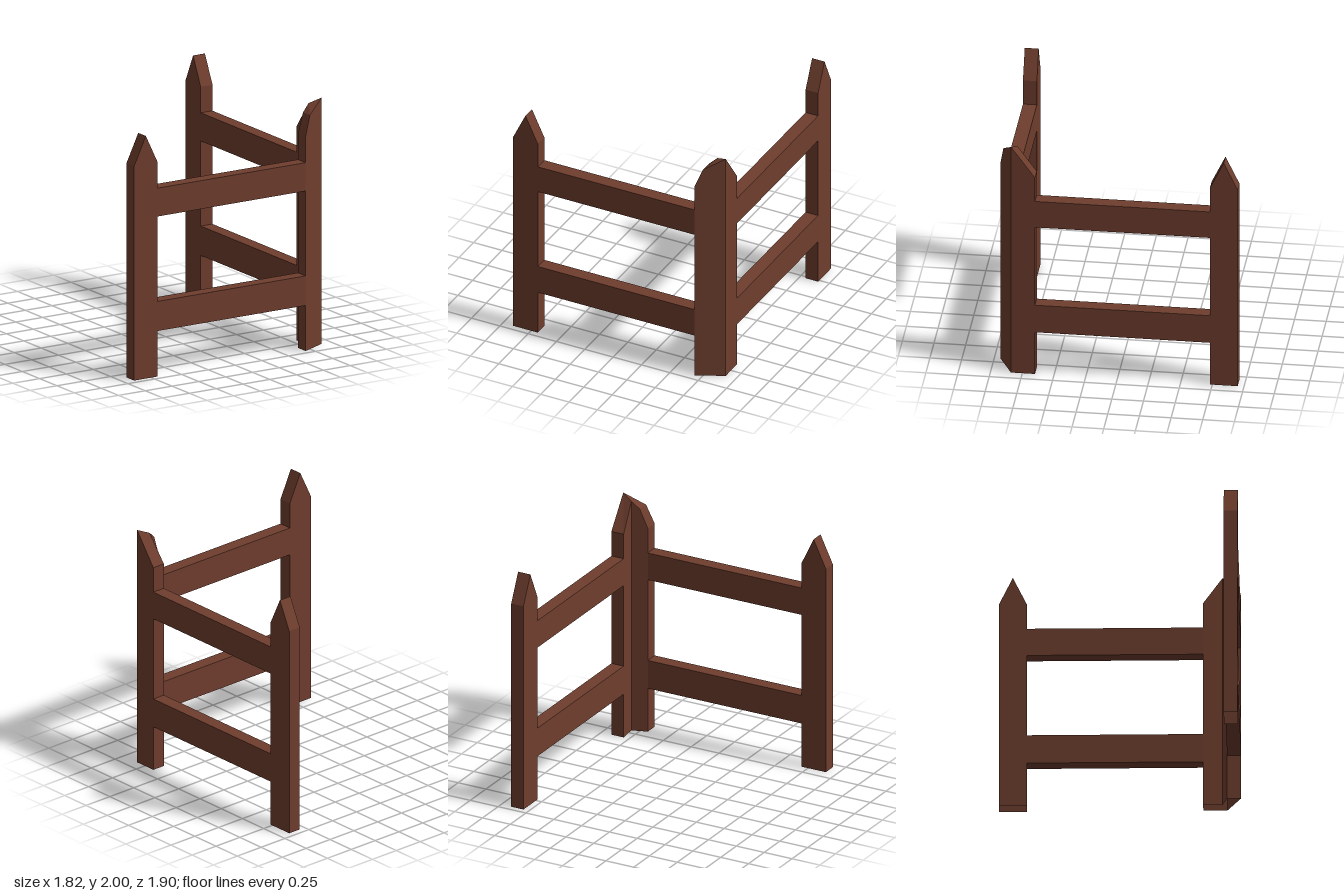
import * as THREE from 'three';

const wood = new THREE.MeshStandardMaterial({ color: 0x6e3d2d, side: THREE.DoubleSide });
wood.name = 'brown wood';

// Hollow post, open underneath. Each section is [outerX, outerZ, outerTop, innerX, innerZ, innerTop].
function makePost(name, sections) {
  const positions = [];
  const quad = (a, b, c, d) => positions.push(...a, ...b, ...c, ...a, ...c, ...d);
  const cuts = sections.map(([ox, oz, oy, ix, iz, iy]) => ({
    outer: [ox, 0, oz], outerTop: [ox, oy, oz],
    inner: [ix, 0, iz], innerTop: [ix, iy, iz],
  }));
  for (let i = 0; i < cuts.length - 1; i++) {
    const a = cuts[i], b = cuts[i + 1];
    quad(a.outer, b.outer, b.outerTop, a.outerTop);
    quad(b.inner, a.inner, a.innerTop, b.innerTop);
    quad(a.outerTop, b.outerTop, b.innerTop, a.innerTop);
  }
  const first = cuts[0], last = cuts[cuts.length - 1];
  quad(first.inner, first.outer, first.outerTop, first.innerTop);
  quad(last.outer, last.inner, last.innerTop, last.outerTop);

  const geometry = new THREE.BufferGeometry();
  geometry.setAttribute('position', new THREE.Float32BufferAttribute(positions, 3));
  geometry.computeVertexNormals();
  const mesh = new THREE.Mesh(geometry, wood);
  mesh.name = name;
  return mesh;
}

function makeRail(name, x0, x1, y0, y1, z0, z1) {
  const mesh = new THREE.Mesh(new THREE.BoxGeometry(x1 - x0, y1 - y0, z1 - z0), wood);
  mesh.position.set((x0 + x1) / 2, (y0 + y1) / 2, (z0 + z1) / 2);
  mesh.name = name;
  return mesh;
}

export function createModel() {
  const group = new THREE.Group();
  group.name = 'cornerFence';

  // Pointed end posts: shoulder, peak, shoulder
  const profile = [[-0.11, 1.74], [0, 1.97], [0.11, 1.74]];
  group.add(makePost('frontEndPost',
    profile.map(([d, y]) => [-0.8 + d, 0.95, y, -0.8 + d, 0.84, y])));
  group.add(makePost('backEndPost',
    profile.map(([d, y]) => [0.91, -0.84 - d, y, 0.8, -0.84 - d, y])));

  // Bent corner post, its peak on the fold
  group.add(makePost('cornerPost', [
    [0.69, 0.95, 1.74, 0.69, 0.84, 1.74],
    [0.75, 0.92, 1.9, 0.75, 0.82, 1.9],
    [0.91, 0.84, 2.0, 0.815, 0.8, 1.96],
    [0.91, 0.65, 1.74, 0.8, 0.65, 1.74],
  ]));

  // Two rails on each side
  for (const [level, y0, y1] of [['lower', 0.37, 0.61], ['upper', 1.3, 1.53]]) {
    group.add(makeRail(level + 'FrontRail', -0.69, 0.69, y0, y1, 0.84, 0.95));
    group.add(makeRail(level + 'SideRail', 0.8, 0.91, y0, y1, -0.73, 0.65));
  }
  return group;
}
